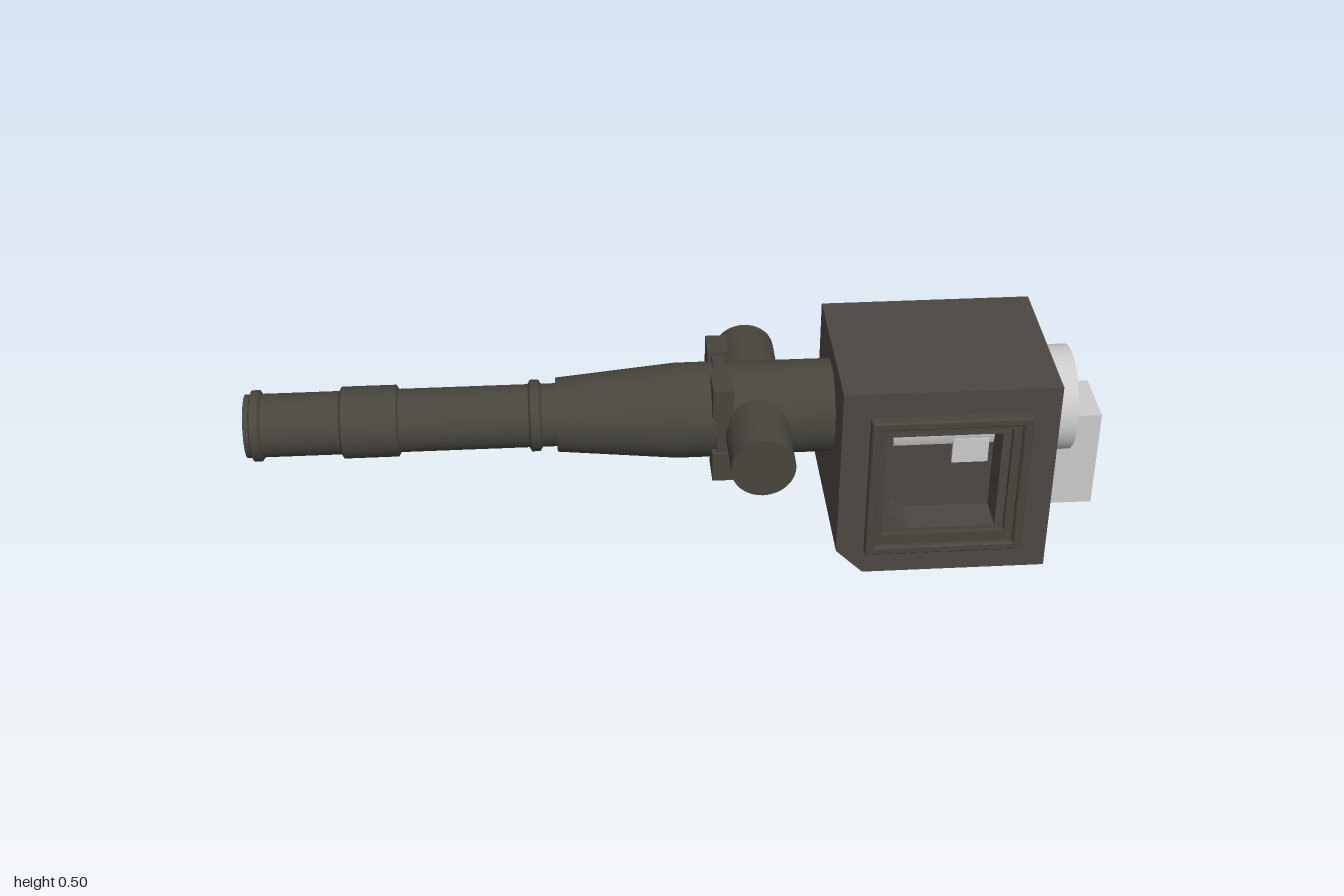
import * as THREE from 'three';
import { toCreasedNormals } from 'three/addons/utils/BufferGeometryUtils.js';

const AXIS_Y = 0.347, AXIS_Z = 0.01;

export function createModel() {
  const model = new THREE.Group();
  model.name = 'cannon';
  const barrelMat = new THREE.MeshStandardMaterial({ color: 0x48453e });
  const housingMat = new THREE.MeshStandardMaterial({ color: 0x4d4743 });
  const greyMat = new THREE.MeshStandardMaterial({ color: 0xcccccc });

  function add(name, geometry, material, x = 0, y = 0, z = 0) {
    const mesh = new THREE.Mesh(geometry, material);
    mesh.name = name;
    mesh.position.set(x, y, z);
    model.add(mesh);
    return mesh;
  }

  // Box given by its limits
  function block(name, x0, x1, y0, y1, z0, z1, material) {
    return add(name, new THREE.BoxGeometry(x1 - x0, y1 - y0, z1 - z0), material,
      (x0 + x1) / 2, (y0 + y1) / 2, (z0 + z1) / 2);
  }

  // Rectangle outline with an optional cut at the lower muzzle-side corner
  function outline(x0, x1, y0, y1, cut = 0, Type = THREE.Shape) {
    const pts = [[x1, y0], [x1, y1], [x0, y1], [x0, y0 + cut]];
    if (cut) pts.push([x0 + cut, y0]);
    return new Type(pts.map(p => new THREE.Vector2(...p)));
  }

  // Plate from z0 to z1, with an optional hole and a chamfered front or back rim
  function plate(name, shape, z0, z1, material, hole, bevel = 0) {
    if (hole) shape.holes.push(hole);
    const geometry = new THREE.ExtrudeGeometry(shape, {
      depth: z1 - z0 - 2 * bevel, bevelEnabled: bevel > 0, bevelSize: bevel,
      bevelThickness: bevel, bevelOffset: -bevel, bevelSegments: 1,
    });
    return add(name, geometry, material, 0, 0, z0 + bevel);
  }

  // Barrel parts turned around the x axis; points are [x, radius]
  function turned(name, points) {
    const geometry = new THREE.LatheGeometry(points.map(([x, r]) => new THREE.Vector2(r, x)), 40);
    geometry.rotateZ(-Math.PI / 2);
    return add(name, toCreasedNormals(geometry, 0.5), barrelMat, 0, AXIS_Y, AXIS_Z);
  }

  // Hollow barrel with muzzle ring, sleeve, band and tapered shoulder
  turned('barrel', [
    [-0.6, 0], [-0.6, 0.056], [-1, 0.056], [-1, 0.074], [-0.988, 0.074],
    [-0.984, 0.083], [-0.966, 0.083], [-0.96, 0.074],
    [-0.782, 0.074], [-0.776, 0.084], [-0.65, 0.084], [-0.644, 0.074],
    [-0.345, 0.074], [-0.34, 0.084], [-0.32, 0.084], [-0.314, 0.074],
    [-0.28, 0.074], [-0.28, 0.087], [0, 0.112], [0.1, 0.112], [0.1, 0],
  ]);
  turned('barrelRear', [[0.1, 0.112], [0.4, 0.112]]).scale.z = 0.94;

  // Trunnions
  const trunnion = new THREE.CylinderGeometry(0.074, 0.074, 0.505, 40).rotateX(Math.PI / 2);
  add('trunnions', trunnion, barrelMat, 0.183, AXIS_Y, 0.01);

  // Square clamp: four corner blocks joined by thinner bars
  for (const s of [-1, 1]) {
    for (const t of [-1, 1]) {
      add('clampCorner', new THREE.BoxGeometry(0.048, 0.076, 0.076), barrelMat,
        0.102, AXIS_Y + 0.003 + s * 0.086, AXIS_Z + t * 0.084);
    }
    add('clampBarHorizontal', new THREE.BoxGeometry(0.028, 0.025, 0.1), barrelMat,
      0.102, AXIS_Y + s * 0.106, AXIS_Z);
    add('clampBarVertical', new THREE.BoxGeometry(0.028, 0.1, 0.025), barrelMat,
      0.102, AXIS_Y, AXIS_Z + s * 0.104);
  }

  // Housing: solid rear portion and front portion pierced by the loading port
  plate('housing', outline(0.365, 0.865, 0.003, 0.505, 0.065), -0.19, 0.129, housingMat);
  plate('housingFront', outline(0.365, 0.865, 0.003, 0.505, 0.065), 0.129, 0.215, housingMat,
    outline(0.484, 0.737, 0.127, 0.386, 0.05, THREE.Path));

  // Stepped frame around the loading port
  plate('portFrame', outline(0.43, 0.8, 0.069, 0.441), 0.21, 0.24, barrelMat,
    outline(0.452, 0.778, 0.091, 0.419, 0, THREE.Path), 0.004);
  plate('portInnerFrame', outline(0.446, 0.784, 0.085, 0.425), 0.213, 0.228, barrelMat,
    outline(0.468, 0.757, 0.118, 0.405, 0, THREE.Path));

  // Back cover with raised panel
  plate('backCover', outline(0.4, 0.83, 0.038, 0.47, 0.05), -0.211, -0.188, barrelMat);
  plate('backPanel', outline(0.5, 0.725, 0.139, 0.369), -0.262, -0.205, barrelMat, null, 0.006);

  // Breech bolt running through the housing, its lug and the rear handle
  const bolt = new THREE.CylinderGeometry(0.125, 0.125, 0.47, 48).rotateZ(Math.PI / 2);
  add('breechBolt', bolt, greyMat, 0.695, AXIS_Y, 0.012);
  block('boltLug', 0.64, 0.725, 0.255, 0.32, 0.1, 0.137, greyMat);
  block('breechHandle', 0.86, 1, 0.089, 0.339, -0.064, 0.087, greyMat);

  return model;
}
